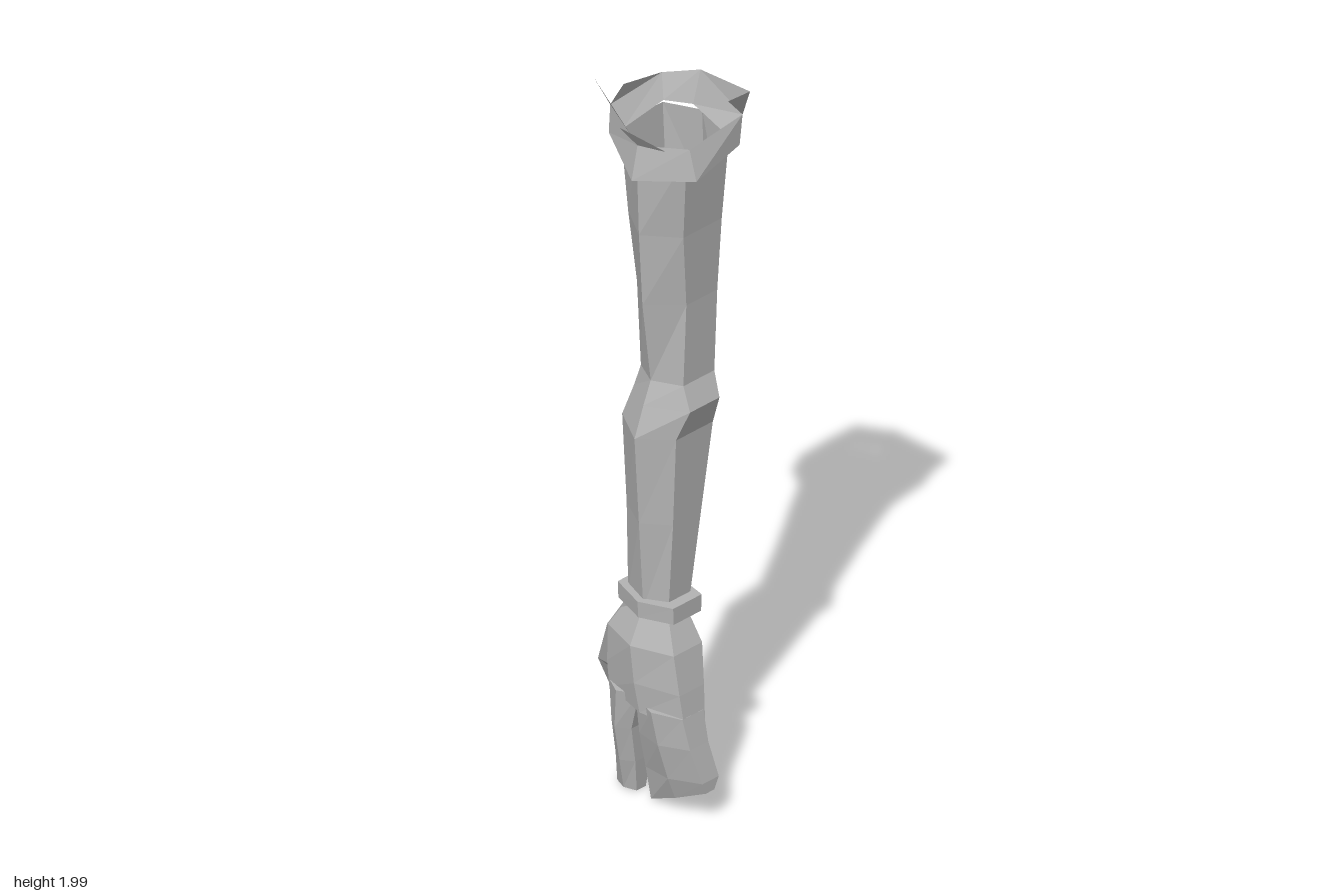
import * as THREE from 'three';

const grey = new THREE.MeshStandardMaterial({ color: 0xb4b4b4, side: THREE.DoubleSide, flatShading: true });
grey.name = 'plain grey';

// Mesh from a list of triangles, each three [x, y, z] corners
function facets(name, tris) {
  const geo = new THREE.BufferGeometry();
  geo.setAttribute('position', new THREE.Float32BufferAttribute(tris.flat(2), 3));
  geo.computeVertexNormals();
  const mesh = new THREE.Mesh(geo, grey);
  mesh.name = name;
  return mesh;
}

// Skin rings listed bottom to top, each running counterclockwise seen from above
function loft(name, rings, capBottom = true, capTop = true) {
  const tris = [];
  const n = rings[0].length;
  for (let r = 0; r < rings.length - 1; r++) {
    for (let i = 0; i < n; i++) {
      const j = (i + 1) % n;
      const [a, b, c, d] = [rings[r][i], rings[r][j], rings[r + 1][j], rings[r + 1][i]];
      tris.push([a, b, c], [a, c, d]);
    }
  }
  const last = rings[rings.length - 1];
  for (let i = 1; i < n - 1; i++) {
    if (capBottom) tris.push([rings[0][0], rings[0][i + 1], rings[0][i]]);
    if (capTop) tris.push([last[0], last[i], last[i + 1]]);
  }
  return facets(name, tris);
}

// Six-sided arm section: left, front pair, right, back pair
const armRing = ([y, xL, xFL, xFR, xR, zF, zB]) => [
  [xL, y, 0.03], [xFL, y, zF], [xFR, y, zF], [xR, y, 0.01], [xFR, y, zB], [xFL, y, zB]];

// Flat hand section whose height may slope from front to back edge
const handRing = ([yF, yB, x0, x1, zF, zB]) => {
  const y = (yF + yB) / 2, z = (zF + zB) / 2, inset = (x1 - x0) * 0.25;
  return [[x0, y, z], [x0 + inset, yF, zF], [x1 - inset * 0.4, yF, zF],
    [x1, y, z], [x1 - inset * 0.4, yB, zB], [x0 + inset, yB, zB]];
};

export function createModel() {
  const group = new THREE.Group();

  // Hollow arm with a bent elbow
  group.add(loft('arm', [
    [0.56, -0.08, -0.05, 0.02, 0.045, 0.085, -0.05],
    [0.80, -0.095, -0.045, 0.05, 0.085, 0.095, -0.06],
    [1.04, -0.11, -0.045, 0.08, 0.125, 0.105, -0.075],
    [1.12, -0.08, -0.025, 0.075, 0.118, 0.132, -0.055],
    [1.18, -0.055, -0.02, 0.085, 0.11, 0.105, -0.037],
    [1.40, -0.083, -0.01, 0.095, 0.14, 0.105, -0.06],
    [1.60, -0.095, -0.03, 0.1, 0.15, 0.115, -0.07],
    [1.84, -0.103, -0.045, 0.1, 0.14, 0.14, -0.082],
  ].map(armRing), true, false));

  // Bracelet at the wrist
  group.add(loft('bracelet', [
    [0.54, -0.097, -0.063, 0.03, 0.053, 0.115, -0.07],
    [0.585, -0.1, -0.065, 0.032, 0.055, 0.115, -0.07],
  ].map(armRing)));

  // Torn cuff folded around the top of the sleeve
  const rim = [[-0.11, 1.86, 0.04], [-0.05, 1.87, 0.155], [0.12, 1.9, 0.165],
    [0.145, 1.945, 0], [0.125, 1.9, -0.11], [-0.05, 1.885, -0.11]];
  group.add(loft('cuff', [
    [[-0.1, 1.81, 0.03], [-0.045, 1.82, 0.135], [0.1, 1.84, 0.135],
      [0.14, 1.86, 0], [0.1, 1.85, -0.08], [-0.045, 1.83, -0.08]],
    [[-0.13, 1.77, 0.04], [-0.05, 1.79, 0.178], [0.11, 1.82, 0.165],
      [0.162, 1.87, -0.005], [0.13, 1.825, -0.11], [-0.055, 1.81, -0.11]],
    rim,
    [[-0.085, 1.82, 0.04], [-0.035, 1.83, 0.13], [0.09, 1.85, 0.13],
      [0.12, 1.86, 0], [0.095, 1.85, -0.075], [-0.04, 1.83, -0.075]],
  ], false, false));

  // Ragged points standing up from the cuff
  const [l, fl, fr, r, br, bl] = rim;
  const peak = [0.125, 1.97, 0.185];
  group.add(facets('cuffShards', [
    [fr, r, peak], [fr, peak, [0.02, 2, 0.215]],
    [l, [-0.085, 1.86, 0.11], [-0.165, 1.93, 0.032]],
    [bl, l, [-0.09, 1.97, -0.125]],
    [br, bl, [-0.02, 1.935, -0.095]],
  ]));

  // Palm
  group.add(loft('palm', [
    [0.27, 0.29, -0.1, 0.005, 0.163, -0.09],
    [0.36, 0.36, -0.108, 0.02, 0.147, -0.095],
    [0.46, 0.46, -0.11, 0.038, 0.125, -0.095],
    [0.55, 0.55, -0.068, 0.022, 0.078, -0.045],
  ].map(handRing)));

  // Joined outer fingers, curling toward the palm
  group.add(loft('outerFingers', [
    [0.1, 0.01, -0.055, -0.01, 0.203, 0.02],
    [0.13, 0.1, -0.075, 0.01, 0.202, 0.012],
    [0.22, 0.2, -0.095, 0, 0.178, 0.008],
    [0.3, 0.3, -0.105, 0.005, 0.158, 0.002],
  ].map(handRing)));

  // Separate index finger
  group.add(loft('indexFinger', [
    [0.012, 0.015, -0.055, -0.008, -0.028, -0.093],
    [0.1, 0.1, -0.075, 0.008, -0.022, -0.088],
    [0.2, 0.2, -0.095, 0, -0.018, -0.085],
    [0.31, 0.31, -0.102, 0.01, 0.01, -0.09],
  ].map(handRing)));

  // Thumb, from tip to wrist
  group.add(loft('thumb', [
    [[0.05, 0.185, -0.205], [0.055, 0.182, -0.155], [0.1, 0.21, -0.17], [0.09, 0.215, -0.22]],
    [[0, 0.29, -0.2], [0.01, 0.27, -0.15], [0.06, 0.34, -0.12], [0.05, 0.34, -0.195]],
    [[-0.05, 0.44, -0.12], [-0.04, 0.32, -0.08], [0.03, 0.35, -0.06], [0.035, 0.45, -0.125]],
    [[-0.06, 0.54, -0.05], [-0.05, 0.42, 0], [0.02, 0.43, 0.02], [0.02, 0.54, -0.055]],
  ]));

  return group;
}
